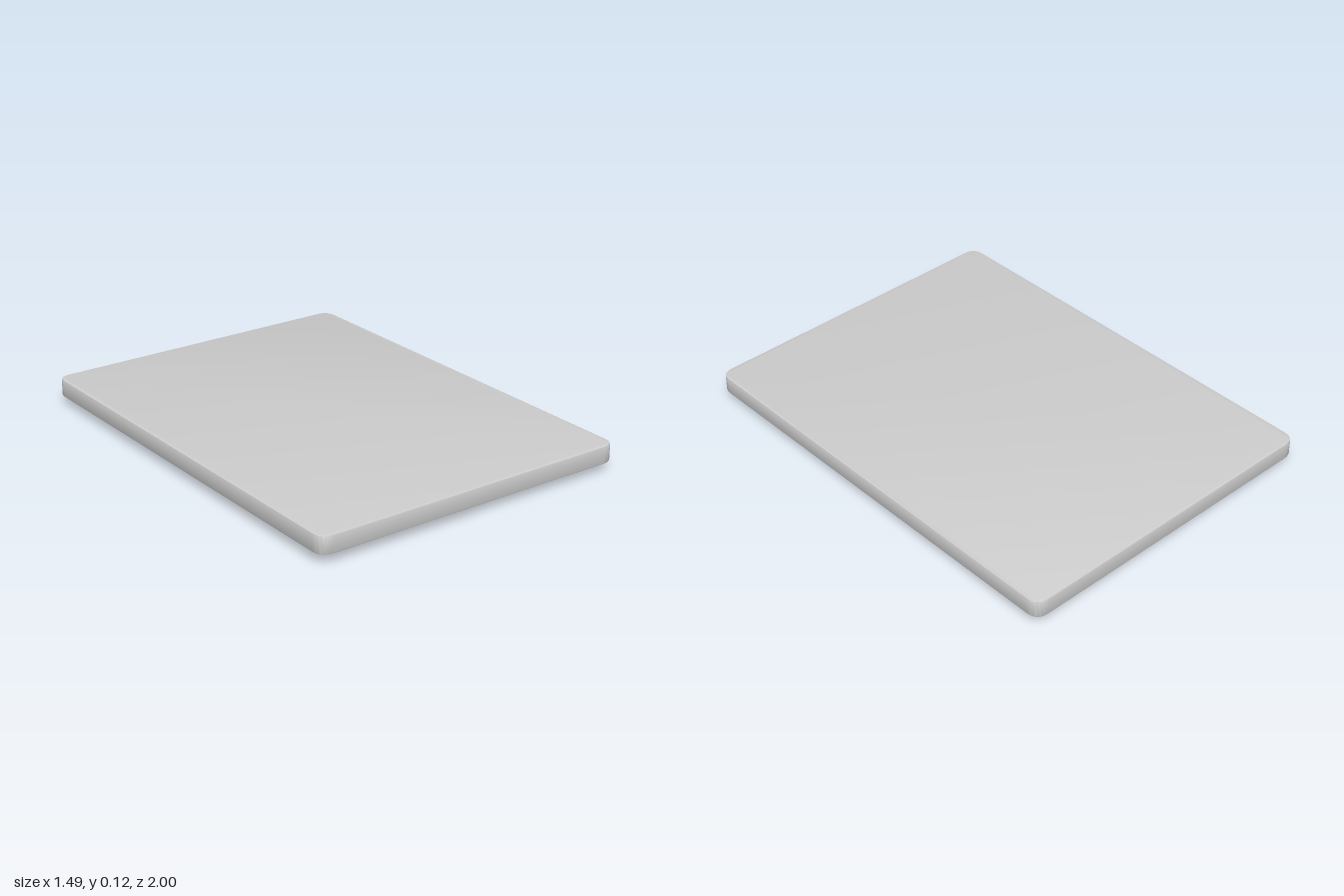
import * as THREE from 'three';
import { toCreasedNormals } from 'three/addons/utils/BufferGeometryUtils.js';

const material = new THREE.MeshStandardMaterial({ color: 0xcccccc });

// Rectangle with rounded corners; hx, hz are half sizes, r the corner radius.
function roundedRect(hx, hz, r, Type = THREE.Shape) {
  const s = new Type();
  s.moveTo(hx - r, -hz);
  s.quadraticCurveTo(hx, -hz, hx, -hz + r);
  s.lineTo(hx, hz - r);
  s.quadraticCurveTo(hx, hz, hx - r, hz);
  s.lineTo(-hx + r, hz);
  s.quadraticCurveTo(-hx, hz, -hx, hz - r);
  s.lineTo(-hx, -hz + r);
  s.quadraticCurveTo(-hx, -hz, -hx + r, -hz);
  return s;
}

// Panel with straight sides and an arched head, grown outwards by g.
function arch(g, Type = THREE.Path) {
  const s = new Type();
  s.moveTo(-0.34 - g, 0.69 + g);
  s.lineTo(0.34 + g, 0.69 + g);
  s.lineTo(0.34 + g, -0.17 - g * 0.5);
  s.quadraticCurveTo(0.24, -0.38 - g, 0, -0.38 - g);
  s.quadraticCurveTo(-0.24, -0.38 - g, -0.34 - g, -0.17 - g * 0.5);
  s.closePath();
  return s;
}

// Corner field between the arch and the border; side is 1 or -1.
function spandrel(side) {
  const s = new THREE.Path();
  s.moveTo(side * 0.42, -0.27);
  s.lineTo(side * 0.42, -0.69);
  s.lineTo(side * 0.15, -0.69);
  s.quadraticCurveTo(side * 0.17, -0.58, side * 0.1, -0.48);
  s.quadraticCurveTo(side * 0.3, -0.45, side * 0.42, -0.27);
  return s;
}

// Horizontal plate spanning y0..y1, with a small bevel kept inside the outline.
function plate(name, shape, holes, y0, y1, bevel) {
  shape.holes.push(...holes);
  const geo = new THREE.ExtrudeGeometry(shape, {
    depth: y1 - y0 - 2 * bevel, bevelEnabled: bevel > 0, bevelThickness: bevel,
    bevelSize: bevel, bevelOffset: -bevel, bevelSegments: 2, curveSegments: 14,
  });
  geo.rotateX(Math.PI / 2);
  geo.translate(0, y1 - bevel, 0);
  const mesh = new THREE.Mesh(toCreasedNormals(geo, 0.6), material);
  mesh.name = name;
  return mesh;
}

export function createModel() {
  const group = new THREE.Group();
  group.name = 'ornamentalPanel';
  const holes = () => [arch(0), spandrel(1), spandrel(-1)];

  // Slab and the stepped layers beneath it
  group.add(plate('slab', roundedRect(0.745, 1, 0.06), [], 0.04, 0.12, 0.006));
  group.add(plate('upperStep', roundedRect(0.685, 0.93, 0.04), [], 0.03, 0.05, 0.004));
  group.add(plate('lowerStep', roundedRect(0.645, 0.895, 0.03), holes(), 0.018, 0.034, 0.003));

  // Thin lip around the lower step
  group.add(plate('outerLip', roundedRect(0.635, 0.885, 0.02),
    [roundedRect(0.605, 0.855, 0.02, THREE.Path)], 0.013, 0.022, 0.002));

  // Rectangular moulding and the flat field inside it
  group.add(plate('borderMoulding', roundedRect(0.485, 0.765, 0.015),
    [roundedRect(0.445, 0.725, 0.015, THREE.Path)], 0, 0.024, 0.005));
  group.add(plate('innerField', roundedRect(0.455, 0.735, 0.01), holes(), 0.011, 0.024, 0.002));

  // Raised edge of the arched panel
  group.add(plate('archMoulding', arch(0.022, THREE.Shape), [arch(0)], 0.004, 0.022, 0.003));

  // Round ornament above the arch
  const ring = new THREE.Mesh(new THREE.TorusGeometry(0.085, 0.018, 10, 40), material);
  ring.name = 'medallionRing';
  ring.rotation.x = Math.PI / 2;
  ring.scale.z = 0.6;
  ring.position.set(0, 0.0115, -0.57);
  const boss = new THREE.Mesh(new THREE.SphereGeometry(0.055, 28, 14), material);
  boss.name = 'medallionBoss';
  boss.scale.y = 0.15;
  boss.position.set(0, 0.011, -0.57);
  group.add(ring, boss);

  return group;
}
